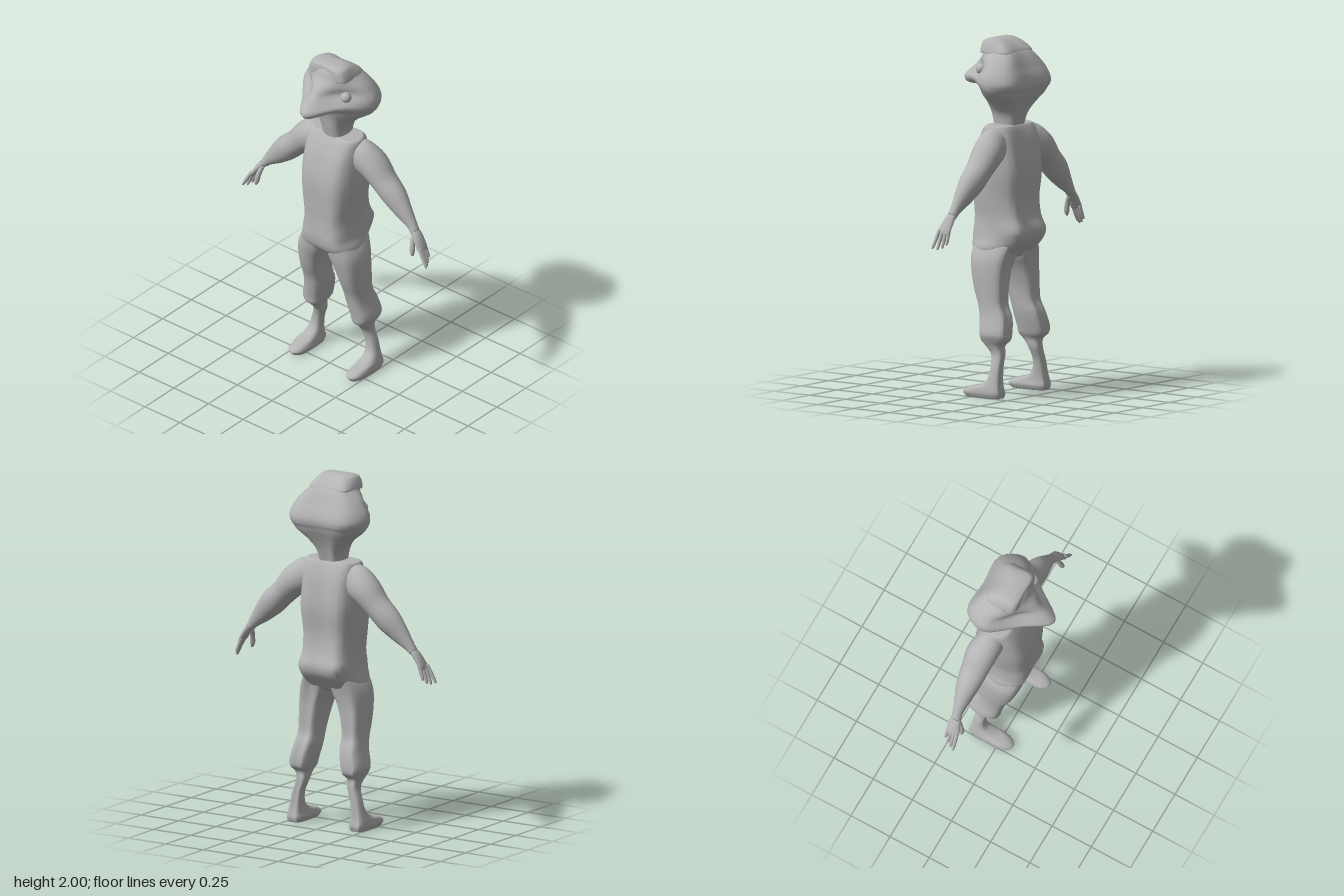
import * as THREE from 'three';

const V = (x, y, z) => new THREE.Vector3(x, y, z);
const SIDES = 32;

// Skin a closed surface over equal-length rings (counter-clockwise about the path)
function skin(rings) {
  const n = rings[0].length, pos = [], idx = [];
  rings.forEach(r => r.forEach(p => pos.push(p.x, p.y, p.z)));
  for (let i = 0; i < rings.length - 1; i++) {
    for (let j = 0; j < n; j++) {
      const a = i * n + j, b = i * n + (j + 1) % n;
      idx.push(a, b, a + n, b, b + n, a + n);
    }
  }
  [0, rings.length - 1].forEach((k, end) => {
    const c = rings[k].reduce((s, p) => s.add(p), V(0, 0, 0)).divideScalar(n);
    const ci = pos.length / 3;
    pos.push(c.x, c.y, c.z);
    for (let j = 0; j < n; j++) {
      const a = k * n + j, b = k * n + (j + 1) % n;
      if (end) idx.push(ci, a, b); else idx.push(ci, b, a);
    }
  });
  const g = new THREE.BufferGeometry();
  g.setAttribute('position', new THREE.Float32BufferAttribute(pos, 3));
  g.setIndex(idx);
  g.computeVertexNormals();
  return g;
}

// Upright body from sections, bottom to top:
// [y, back z, back half-width, mid half-width, mid z, front half-width, front z, front centre z, front lift, centre x]
function body(sections, steps = 4) {
  const rings = sections.map(([y, zb, wb, wm, zm, wf, zf, zt, lift = 0, cx = 0]) => {
    const half = [[wf, zf, lift], [wm, zm, 0], [wb, zb, 0]];
    const pts = [
      V(cx, y, zt),
      ...half.map(([x, z, l]) => V(cx + x, y + l, z)),
      V(cx, y, zb),
      ...half.slice().reverse().map(([x, z, l]) => V(cx - x, y + l, z)),
    ];
    const curve = new THREE.CatmullRomCurve3(pts, true);
    return Array.from({ length: SIDES }, (_, j) => curve.getPoint(j / SIDES));
  });
  const columns = rings[0].map((_, j) => new THREE.CatmullRomCurve3(rings.map(r => r[j])));
  const m = (rings.length - 1) * steps;
  return skin(Array.from({ length: m + 1 }, (_, i) => columns.map(c => c.getPoint(i / m))));
}

// Tapering limb through [x, y, z, radius in the xy plane, radius along z]
function limb(stations, side, sides = 20, steps = 5) {
  const path = new THREE.CatmullRomCurve3(stations.map(s => V(s[0] * side, s[1], s[2])));
  const size = new THREE.CatmullRomCurve3(stations.map((s, i) => V(s[3], s[4], i * 0.1)));
  const m = (stations.length - 1) * steps, rings = [];
  for (let i = 0; i <= m; i++) {
    const c = path.getPoint(i / m), r = size.getPoint(i / m), t = path.getTangent(i / m);
    const up = V(0, 0, 1).cross(t).normalize();
    const out = t.clone().cross(up).normalize();
    rings.push(Array.from({ length: sides }, (_, j) => {
      const a = j / sides * Math.PI * 2;
      return c.clone().addScaledVector(up, Math.cos(a) * r.x).addScaledVector(out, Math.sin(a) * r.y);
    }));
  }
  return skin(rings);
}

export function createModel() {
  const model = new THREE.Group();
  const grey = new THREE.MeshStandardMaterial({ color: 0xb4b4b4 });
  grey.name = 'plain grey';
  const add = (name, geometry) => {
    const mesh = new THREE.Mesh(geometry, grey);
    mesh.name = name;
    model.add(mesh);
    return mesh;
  };

  // Torso, flat-topped at the shoulders
  add('torso', body([
    [0.775, -0.13, 0.06, 0.10, -0.04, 0.07, 0.05, 0.06],
    [0.82, -0.17, 0.11, 0.18, -0.04, 0.13, 0.08, 0.09],
    [0.88, -0.22, 0.12, 0.165, -0.05, 0.12, 0.09, 0.10],
    [0.93, -0.23, 0.13, 0.157, -0.06, 0.12, 0.085, 0.098],
    [1.00, -0.205, 0.12, 0.155, -0.06, 0.11, 0.085, 0.095],
    [1.10, -0.19, 0.12, 0.165, -0.06, 0.12, 0.085, 0.098],
    [1.25, -0.20, 0.13, 0.18, -0.06, 0.13, 0.085, 0.096],
    [1.38, -0.185, 0.13, 0.18, -0.06, 0.13, 0.06, 0.068],
    [1.46, -0.165, 0.135, 0.178, -0.06, 0.13, 0.03, 0.035],
    [1.512, -0.142, 0.13, 0.17, -0.06, 0.13, 0.0, 0.003],
    [1.52, -0.13, 0.12, 0.155, -0.06, 0.12, -0.01, -0.008],
  ]));

  // Neck, skull and beak in one skin
  add('head', body([
    [1.49, -0.13, 0.05, 0.07, -0.07, 0.05, -0.01, 0.0],
    [1.58, -0.155, 0.06, 0.085, -0.07, 0.06, 0.005, 0.02],
    [1.64, -0.18, 0.10, 0.14, -0.09, 0.08, 0.02, 0.03],
    [1.69, -0.205, 0.15, 0.21, -0.10, 0.10, 0.04, 0.045],
    [1.715, -0.215, 0.16, 0.232, -0.10, 0.11, 0.055, 0.07, 0.02],
    [1.73, -0.222, 0.17, 0.24, -0.10, 0.12, 0.085, 0.215, 0.03],
    [1.76, -0.226, 0.18, 0.247, -0.10, 0.12, 0.09, 0.235, 0.02],
    [1.80, -0.215, 0.175, 0.24, -0.09, 0.11, 0.075, 0.20],
    [1.84, -0.195, 0.165, 0.215, -0.08, 0.09, 0.045, 0.15],
    [1.88, -0.175, 0.14, 0.185, -0.07, 0.10, 0.04, 0.11],
    [1.92, -0.15, 0.11, 0.14, -0.06, 0.10, 0.03, 0.07],
    [1.96, -0.11, 0.08, 0.10, -0.05, 0.08, 0.025, 0.05],
    [1.985, -0.08, 0.05, 0.07, -0.04, 0.05, 0.01, 0.032],
  ]));

  // Low cap with a raised crown
  add('cap', body([
    [1.92, -0.142, 0.115, 0.135, -0.05, 0.12, 0.038, 0.044],
    [1.93, -0.142, 0.115, 0.134, -0.05, 0.12, 0.038, 0.044],
    [1.965, -0.11, 0.095, 0.12, -0.04, 0.11, 0.037, 0.043],
    [1.988, -0.075, 0.075, 0.105, -0.03, 0.095, 0.03, 0.038],
    [2.0, -0.045, 0.05, 0.07, -0.02, 0.06, 0.0, 0.005],
  ]));

  // Single bulging eye
  add('eye', new THREE.SphereGeometry(0.03, 24, 16)).position.set(0.135, 1.83, 0.02);

  for (const side of [1, -1]) {
    const tag = side > 0 ? 'left' : 'right';

    // Leg and foot: [y, inner x, outer x, back z, front z]
    const leg = [
      [0.005, 0.165, 0.25, -0.17, 0.065],
      [0.03, 0.155, 0.26, -0.176, 0.085],
      [0.055, 0.16, 0.258, -0.172, 0.05],
      [0.075, 0.163, 0.252, -0.168, -0.03],
      [0.11, 0.165, 0.242, -0.165, -0.085],
      [0.18, 0.158, 0.225, -0.162, -0.10],
      [0.25, 0.135, 0.205, -0.158, -0.085],
      [0.295, 0.13, 0.215, -0.155, -0.05],
      [0.325, 0.115, 0.228, -0.185, -0.02],
      [0.36, 0.105, 0.24, -0.19, -0.015],
      [0.45, 0.085, 0.218, -0.175, 0.0],
      [0.52, 0.08, 0.21, -0.145, 0.015],
      [0.60, 0.072, 0.21, -0.14, 0.045],
      [0.70, 0.045, 0.21, -0.14, 0.07],
      [0.78, 0.01, 0.20, -0.15, 0.085],
      [0.86, 0.01, 0.16, -0.17, 0.09],
    ];
    add(tag + 'Leg', body(leg.map(([y, x0, x1, zb, zf]) => {
      const w = (x1 - x0) / 2, d = zf - zb;
      return [y, zb, w * 0.68, w, (zb + zf) / 2, w * 0.72, zf - d * 0.1, zf, 0, side * (x0 + x1) / 2];
    })));

    // Arm
    add(tag + 'Arm', limb([
      [0.10, 1.425, -0.08, 0.08, 0.07],
      [0.165, 1.41, -0.085, 0.098, 0.082],
      [0.235, 1.37, -0.098, 0.088, 0.088],
      [0.31, 1.295, -0.10, 0.073, 0.078],
      [0.39, 1.22, -0.10, 0.073, 0.066],
      [0.46, 1.15, -0.095, 0.055, 0.045],
      [0.515, 1.095, -0.092, 0.034, 0.03],
      [0.545, 1.06, -0.088, 0.024, 0.028],
    ], side, 28));

    // Palm, thumb and four fingers
    add(tag + 'Palm', limb([
      [0.53, 1.08, -0.09, 0.02, 0.024],
      [0.565, 1.04, -0.085, 0.02, 0.034],
      [0.60, 0.985, -0.078, 0.015, 0.04],
      [0.612, 0.965, -0.076, 0.006, 0.036],
    ], side));
    add(tag + 'Thumb', limb([
      [0.545, 1.05, -0.075, 0.014, 0.014],
      [0.556, 1.0, -0.052, 0.014, 0.015],
      [0.562, 0.955, -0.042, 0.014, 0.015],
      [0.567, 0.932, -0.04, 0.006, 0.007],
    ], side, 12));
    [[0.625, 0.91, -0.112], [0.637, 0.89, -0.09], [0.65, 0.882, -0.066], [0.665, 0.887, -0.042]]
      .forEach(([x, y, z], i) => {
        const root = V(0.594 + i * 0.004, 0.99, -0.106 + i * 0.019), tip = V(x, y, z);
        const at = (k, r) => [...root.clone().lerp(tip, k).toArray(), r, r];
        add(tag + 'Finger' + (i + 1), limb([at(0, 0.011), at(0.5, 0.0105), at(0.9, 0.008), at(1, 0.003)], side, 10));
      });
  }
  return model;
}
